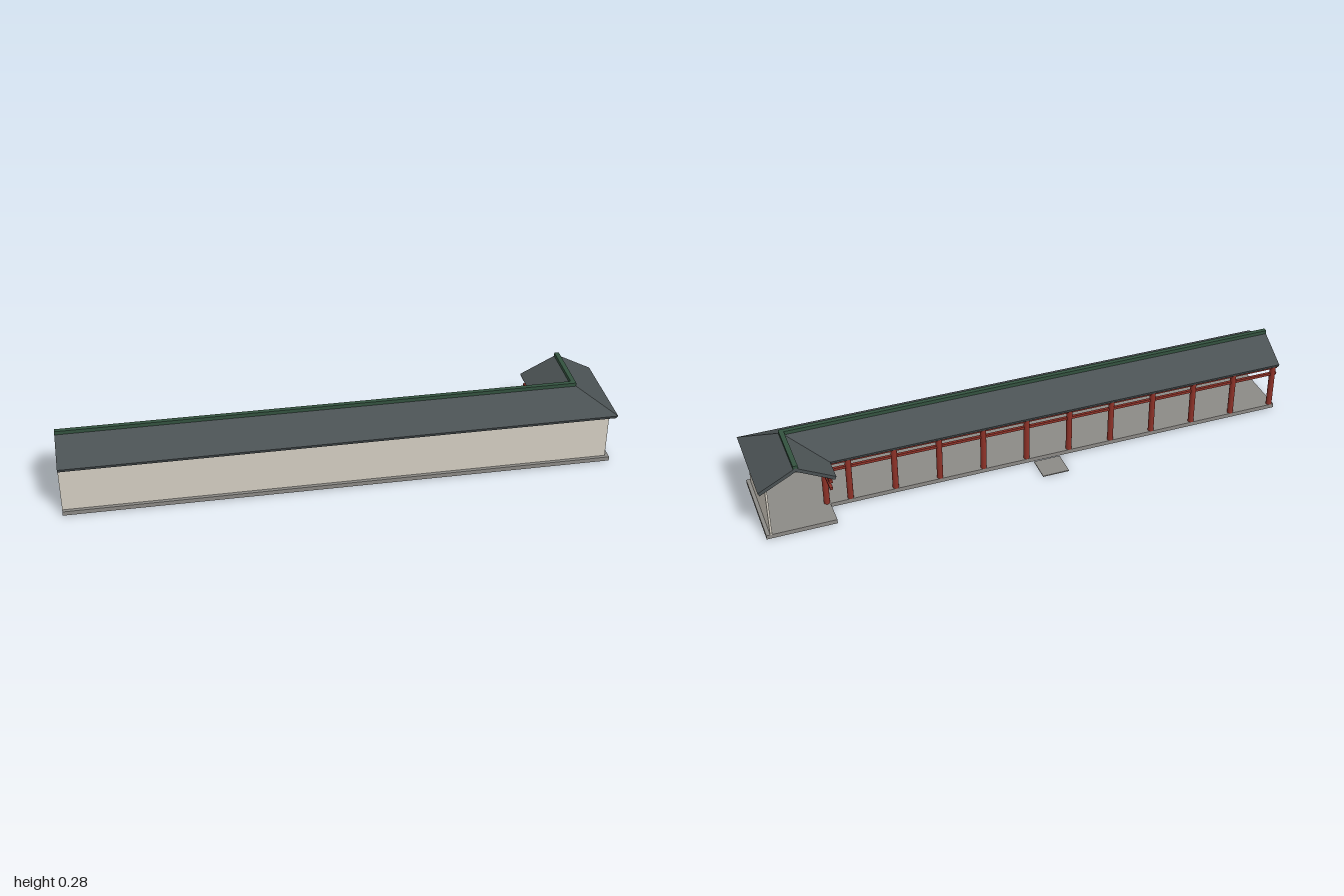
import * as THREE from 'three';

const mat = (name, color) => {
  const m = new THREE.MeshStandardMaterial({ color });
  m.name = name;
  return m;
};

// L-shaped ridge line: long wing at z = RZ, short wing at x = RX
const RX = 0.865, RZ = 0.0425, SX = 1.06, BACK = -0.17;

// Sweeps a closed counter-clockwise profile [offset, height] round the L with a mitred corner
function sweep(profile) {
  const rings = [
    profile.map(([u, y]) => [-1, y, RZ + u]),
    profile.map(([u, y]) => [RX + u * SX, y, RZ + u]),
    profile.map(([u, y]) => [RX + u * SX, y, BACK]),
  ];
  const pos = [];
  const tri = (a, b, c) => pos.push(...a, ...b, ...c);
  for (let s = 0; s < 2; s++) {
    const a = rings[s], b = rings[s + 1];
    profile.forEach((_, i) => {
      const j = (i + 1) % profile.length;
      tri(a[i], b[i], a[j]);
      tri(b[i], b[j], a[j]);
    });
  }
  const caps = THREE.ShapeUtils.triangulateShape(profile.map(([u, y]) => new THREE.Vector2(u, y)), []);
  for (const [i, j, k] of caps) {
    tri(rings[0][i], rings[0][j], rings[0][k]);
    tri(rings[2][i], rings[2][k], rings[2][j]);
  }
  const g = new THREE.BufferGeometry();
  g.setAttribute('position', new THREE.Float32BufferAttribute(pos, 3));
  g.computeVertexNormals();
  return g;
}

const rect = (u0, u1, y0, y1) => [[u0, y0], [u1, y0], [u1, y1], [u0, y1]];

export function createModel() {
  const group = new THREE.Group();
  const stone = mat('stone grey', 0x8c8a86);
  const plaster = mat('plaster', 0xd6d0c4);
  const tile = mat('roof tile', 0x4a5153);
  const green = mat('ridge green', 0x33523f);
  const red = mat('timber red', 0x8e3228);

  const add = (name, geometry, material, x = 0, y = 0, z = 0) => {
    const m = new THREE.Mesh(geometry, material);
    m.name = name;
    m.position.set(x, y, z);
    group.add(m);
  };

  // Plinth, outer wall, roof slab and ridge cap follow the same L
  add('plinth', sweep(rect(-0.118, 0.117, 0.004, 0.02)), stone);
  add('outerWall', sweep(rect(0.0975, 0.1045, 0.02, 0.203)), plaster);
  add('roof', sweep([
    [-0.1225, 0.193], [0, 0.2615], [0.1225, 0.193],
    [0.1275, 0.205], [0, 0.276], [-0.1275, 0.205],
  ]), tile);
  add('ridgeCap', sweep(rect(-0.008, 0.008, 0.268, 0.285)), green);

  // Two rails tie the posts together
  add('upperBeam', sweep(rect(-0.114, -0.102, 0.182, 0.196)), red);
  add('lowerBeam', sweep(rect(-0.113, -0.103, 0.153, 0.163)), red);

  // Row of posts on the open side, plus one in the inner corner
  const postU = -0.108;
  const post = new THREE.CylinderGeometry(0.011, 0.011, 0.18, 14);
  const xs = Array.from({ length: 11 }, (_, i) => -0.985 + i * 0.165);
  xs.push(RX + postU * SX);
  xs.forEach((x) => add('post', post, red, x, 0.11, RZ + postU));

  // Stepping slab on the open side
  add('entranceSlab', new THREE.BoxGeometry(0.1, 0.004, 0.092), stone, -0.07, 0.002, -0.124);

  return group;
}
